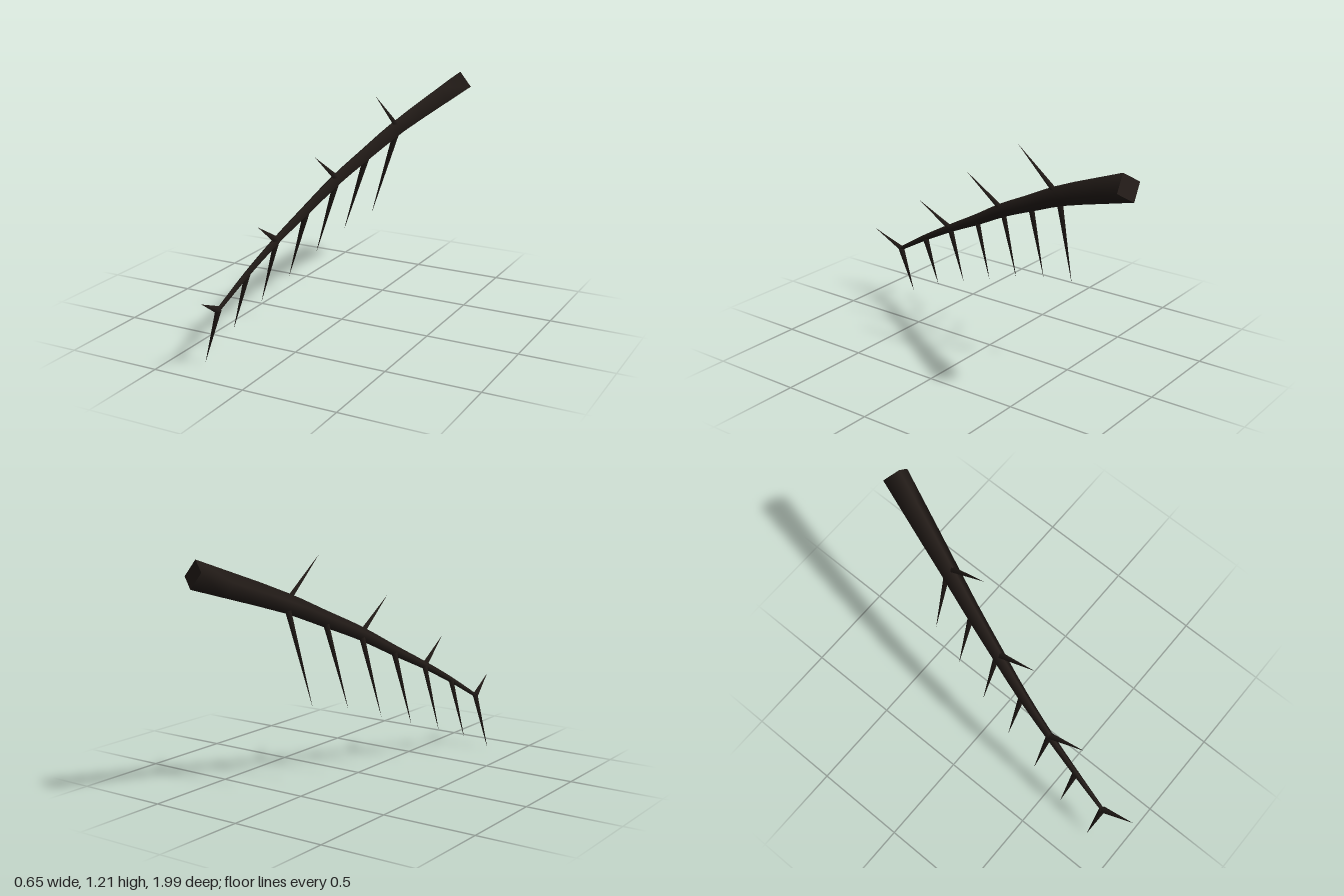
import * as THREE from 'three';

const V = (x, y, z) => new THREE.Vector3(x, y, z);
const UP = V(0, 1, 0);
const material = new THREE.MeshStandardMaterial({ color: 0x231c18 });

// Centre line from the thick root to the thin tip, with the radius at each point
const joints = [
  V(0.255, 1.147, -0.967), V(0.09, 0.967, -0.485), V(0.018, 0.867, -0.267), V(-0.05, 0.765, -0.045),
  V(-0.11, 0.65, 0.17), V(-0.162, 0.537, 0.395), V(-0.203, 0.422, 0.61), V(-0.238, 0.297, 0.825),
];
const radii = [0.073, 0.052, 0.044, 0.037, 0.03, 0.022, 0.017, 0.011];

// Four-sided tapering limb, smooth along its sides, with flat ends
function limbGeometry() {
  const curve = new THREE.CatmullRomCurve3(joints);
  const steps = 21, sides = 4, roll = -0.22;
  const pos = [], index = [];
  const rings = [];
  for (let i = 0; i <= steps; i++) {
    const t = i / steps;
    const k = Math.min(t * 7, 6.9999), j = Math.floor(k);
    const r = THREE.MathUtils.lerp(radii[j], radii[j + 1], k - j);
    const centre = curve.getPoint(t), dir = curve.getTangent(t);
    const side = UP.clone().cross(dir).normalize();
    const up = dir.clone().cross(side);
    const ring = [];
    for (let s = 0; s < sides; s++) {
      const a = roll + (s / sides) * Math.PI * 2;
      const p = centre.clone().addScaledVector(side, r * Math.cos(a)).addScaledVector(up, r * Math.sin(a));
      ring.push(p);
      pos.push(...p.toArray());
    }
    rings.push(ring);
  }
  for (let i = 0; i < steps; i++) {
    for (let s = 0; s < sides; s++) {
      const a = i * sides + s, b = i * sides + ((s + 1) % sides);
      index.push(a, b, b + sides, a, b + sides, a + sides);
    }
  }
  // End caps have their own corners, so their edges stay sharp
  [[...rings[0]].reverse(), rings[steps]].forEach((ring) => {
    const n = pos.length / 3;
    ring.forEach((p) => pos.push(...p.toArray()));
    index.push(n, n + 1, n + 2, n, n + 2, n + 3);
  });
  const g = new THREE.BufferGeometry();
  g.setAttribute('position', new THREE.Float32BufferAttribute(pos, 3));
  g.setIndex(index);
  g.computeVertexNormals();
  return g;
}

// Slim four-sided thorn running from a point on the limb to its tip
function spike(name, from, to, radius) {
  const length = from.distanceTo(to);
  const g = new THREE.ConeGeometry(radius, length, 4);
  g.translate(0, length / 2, 0);
  const mesh = new THREE.Mesh(g, material);
  mesh.name = name;
  mesh.position.copy(from);
  mesh.quaternion.setFromUnitVectors(UP, to.clone().sub(from).normalize());
  return mesh;
}

export function createModel() {
  const group = new THREE.Group();
  group.name = 'spikedLimb';

  const limb = new THREE.Mesh(limbGeometry(), material);
  limb.name = 'limb';
  group.add(limb);

  // Long spikes hanging below every joint
  const lowerTips = [
    V(-0.06, 0.46, -0.475), V(-0.122, 0.415, -0.26), V(-0.178, 0.34, -0.045), V(-0.225, 0.26, 0.17),
    V(-0.265, 0.185, 0.385), V(-0.3, 0.105, 0.6), V(-0.33, 0, 0.815),
  ];
  lowerTips.forEach((tip, i) => group.add(spike('lowerSpike' + (i + 1), joints[i + 1], tip, 0.019)));

  // Shorter spikes pointing forward above every second joint
  const upperTips = [V(0.078, 1.185, -0.23), V(-0.05, 0.935, 0.195), V(-0.145, 0.665, 0.6), V(-0.215, 0.39, 1)];
  upperTips.forEach((tip, i) => group.add(spike('upperSpike' + (i + 1), joints[i * 2 + 1], tip, 0.019)));

  return group;
}
